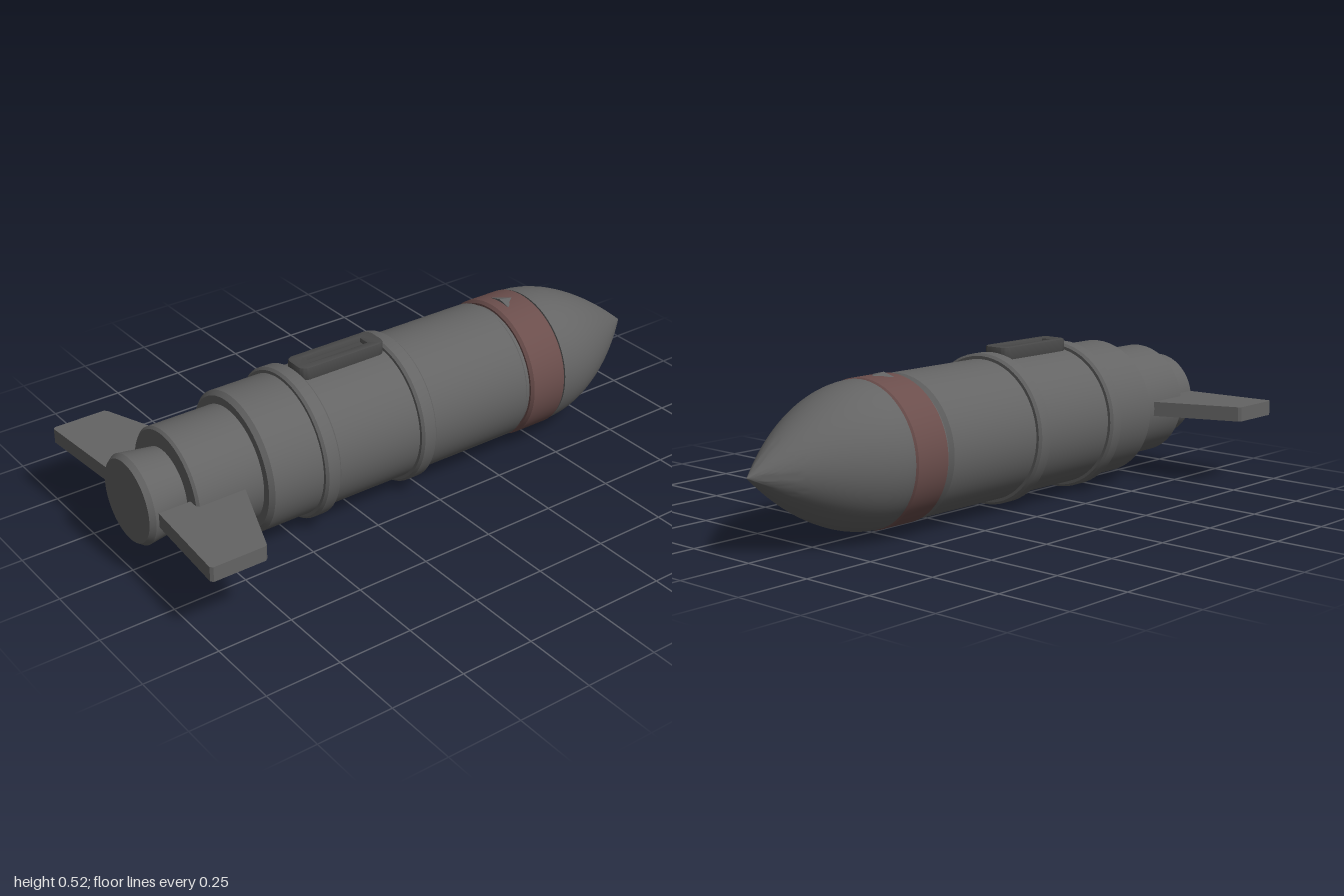
import * as THREE from 'three';
import { toCreasedNormals } from 'three/addons/utils/BufferGeometryUtils.js';

const AXIS_Y = 0.255;

export function createModel() {
  const model = new THREE.Group();
  model.name = 'rocketBomb';
  const material = (name, color) => {
    const m = new THREE.MeshStandardMaterial({ color });
    m.name = name;
    return m;
  };
  const grey = material('gunmetalGrey', 0x646464);
  const red = material('dullRed', 0x6b4e4c);
  const dark = material('darkGrey', 0x484848);

  const add = (name, geometry, mat, y = 0) => {
    const mesh = new THREE.Mesh(geometry, mat);
    mesh.name = name;
    mesh.position.y = y;
    model.add(mesh);
    return mesh;
  };

  // Turned part along x from [x, radius] pairs, tail to nose
  const turned = (name, profile, mat) => {
    const points = profile.map(([x, r]) => new THREE.Vector2(r, x));
    const geometry = new THREE.LatheGeometry(points, 64).rotateZ(-Math.PI / 2);
    return add(name, toCreasedNormals(geometry, 0.4), mat, AXIS_Y);
  };
  // Closed cylinder with chamfered rims
  const drum = (name, x0, x1, r, c, mat) => turned(name, [
    [x0, 0], [x0, r - c], [x0 + c, r], [x1 - c, r], [x1, r - c], [x1, 0],
  ], mat);

  // Hull
  turned('nozzle', [[-1, 0], [-1, 0.135], [-0.983, 0.147], [-0.86, 0.13], [-0.86, 0]], grey);
  drum('tailSection', -0.867, -0.62, 0.193, 0.008, grey);
  drum('body', -0.635, 0.385, 0.234, 0.014, grey);
  drum('neck', 0.37, 0.56, 0.222, 0.002, grey);
  drum('warningBand', 0.394, 0.54, 0.238, 0.009, red);
  for (const [name, x] of [['rearClampRing', -0.414], ['frontClampRing', -0.043]]) {
    drum(name, x - 0.029, x + 0.029, 0.252, 0.008, grey);
  }

  // Nose cone, a smooth curve ending in a point
  const noseCurve = new THREE.CubicBezierCurve(
    new THREE.Vector2(0.54, 0.235), new THREE.Vector2(0.69, 0.235),
    new THREE.Vector2(0.85, 0.13), new THREE.Vector2(1, 0));
  turned('noseCone', [[0.54, 0], ...noseCurve.getPoints(24).map((p) => [p.x, p.y])], grey);

  // Side fins
  const finShape = new THREE.Shape([
    [-0.975, 0.15], [-0.998, 0.472], [-0.99, 0.48], [-0.815, 0.48], [-0.806, 0.472], [-0.684, 0.15],
  ].map(([x, z]) => new THREE.Vector2(x, z)));
  for (const [name, turn] of [['frontFin', Math.PI / 2], ['backFin', -Math.PI / 2]]) {
    const geometry = new THREE.ExtrudeGeometry(finShape, { depth: 0.05, bevelEnabled: false });
    geometry.translate(0, 0, -0.025).rotateX(turn);
    add(name, geometry, grey, AXIS_Y + 0.001);
  }

  // Rounded outline in plan
  const roundedRect = (Type, w, h, r) => {
    const s = new Type();
    s.moveTo(-w + r, -h);
    s.lineTo(w - r, -h).absarc(w - r, -h + r, r, -Math.PI / 2, 0);
    s.lineTo(w, h - r).absarc(w - r, h - r, r, 0, Math.PI / 2);
    s.lineTo(-w + r, h).absarc(-w + r, h - r, r, Math.PI / 2, Math.PI);
    s.lineTo(-w, -h + r).absarc(-w + r, -h + r, r, Math.PI, Math.PI * 1.5);
    return s;
  };
  // Lug on top with a recessed slot
  const lugShape = roundedRect(THREE.Shape, 0.154, 0.044, 0.022);
  lugShape.holes.push(roundedRect(THREE.Path, 0.113, 0.024, 0.004));
  const lug = new THREE.ExtrudeGeometry(lugShape, {
    depth: 0.044, bevelThickness: 0.006, bevelSize: 0.006, bevelSegments: 2, curveSegments: 6,
  });
  lug.rotateX(-Math.PI / 2);
  add('topLug', toCreasedNormals(lug, 0.6), dark, 0.475).position.x = -0.23;
  add('slotFloor', new THREE.BoxGeometry(0.23, 0.03, 0.046), dark, 0.495).position.x = -0.23;

  // Small arrow-shaped marker on the band
  const arrow = new THREE.ConeGeometry(0.045, 0.07, 4).toNonIndexed();
  arrow.rotateZ(-Math.PI / 2).scale(1, 0.25, 1);
  arrow.computeVertexNormals();
  add('bandMarker', arrow, grey, AXIS_Y + 0.235).position.x = 0.475;

  return model;
}
